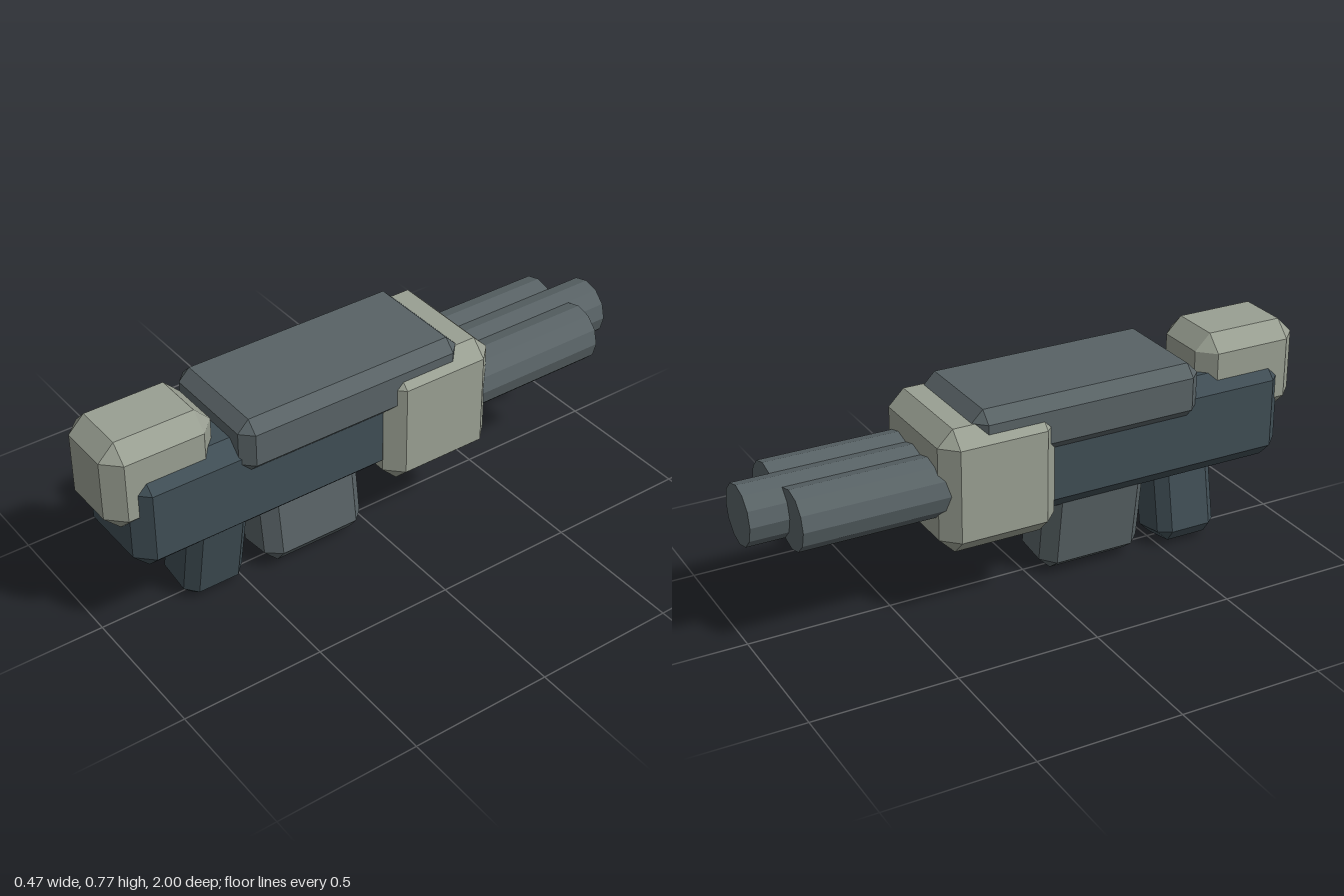
import * as THREE from 'three';
import { ConvexGeometry } from 'three/addons/geometries/ConvexGeometry.js';

const paint = (color) => new THREE.MeshStandardMaterial({ color, flatShading: true });

// Box with every edge and corner cut off by c
function chamferBox(w, h, d, c) {
  const half = [w / 2, h / 2, d / 2];
  const points = [];
  for (const sx of [-1, 1]) for (const sy of [-1, 1]) for (const sz of [-1, 1]) {
    const s = [sx, sy, sz];
    for (let face = 0; face < 3; face++) {
      points.push(new THREE.Vector3(...half.map((v, i) => s[i] * (i === face ? v : v - c))));
    }
  }
  return new ConvexGeometry(points);
}

export function createModel() {
  const model = new THREE.Group();
  const dark = paint(0x3f4d54);
  const steel = paint(0x586265);
  const pale = paint(0x999f92);

  function add(name, geometry, material, x, y, z, tilt = 0) {
    const mesh = new THREE.Mesh(geometry, material);
    mesh.name = name;
    mesh.position.set(x, y, z);
    mesh.rotation.z = tilt;
    model.add(mesh);
  }

  // Main housing, top cover and the pale end blocks
  add('body', chamferBox(0.354, 0.355, 1.23, 0.055), dark, 0, 0.4675, 0.315);
  add('topCover', chamferBox(0.42, 0.195, 0.84, 0.04), steel, 0, 0.6275, 0.145);
  add('stockBlock', chamferBox(0.29, 0.322, 0.39, 0.056), pale, 0, 0.612, 0.805);
  add('muzzleBlock', chamferBox(0.466, 0.435, 0.42, 0.055), pale, 0, 0.4675, -0.19);

  // Handle and magazine lean opposite ways
  add('grip', chamferBox(0.195, 0.4, 0.225, 0.038), dark, 0.002, 0.209, 0.6, -0.18);
  add('magazine', chamferBox(0.211, 0.4, 0.385, 0.046), steel, -0.01, 0.217, 0.228, 0.13);

  // Three barrels side by side, the middle one longest
  for (const [name, x, end] of [['leftBarrel', 0.107, -0.87], ['middleBarrel', 0, -1], ['rightBarrel', -0.107, -0.87]]) {
    const length = -0.2 - end;
    const barrel = new THREE.CylinderGeometry(0.103, 0.103, length, 12).rotateX(Math.PI / 2);
    add(name, barrel, steel, x, 0.468, end + length / 2);
  }
  return model;
}
